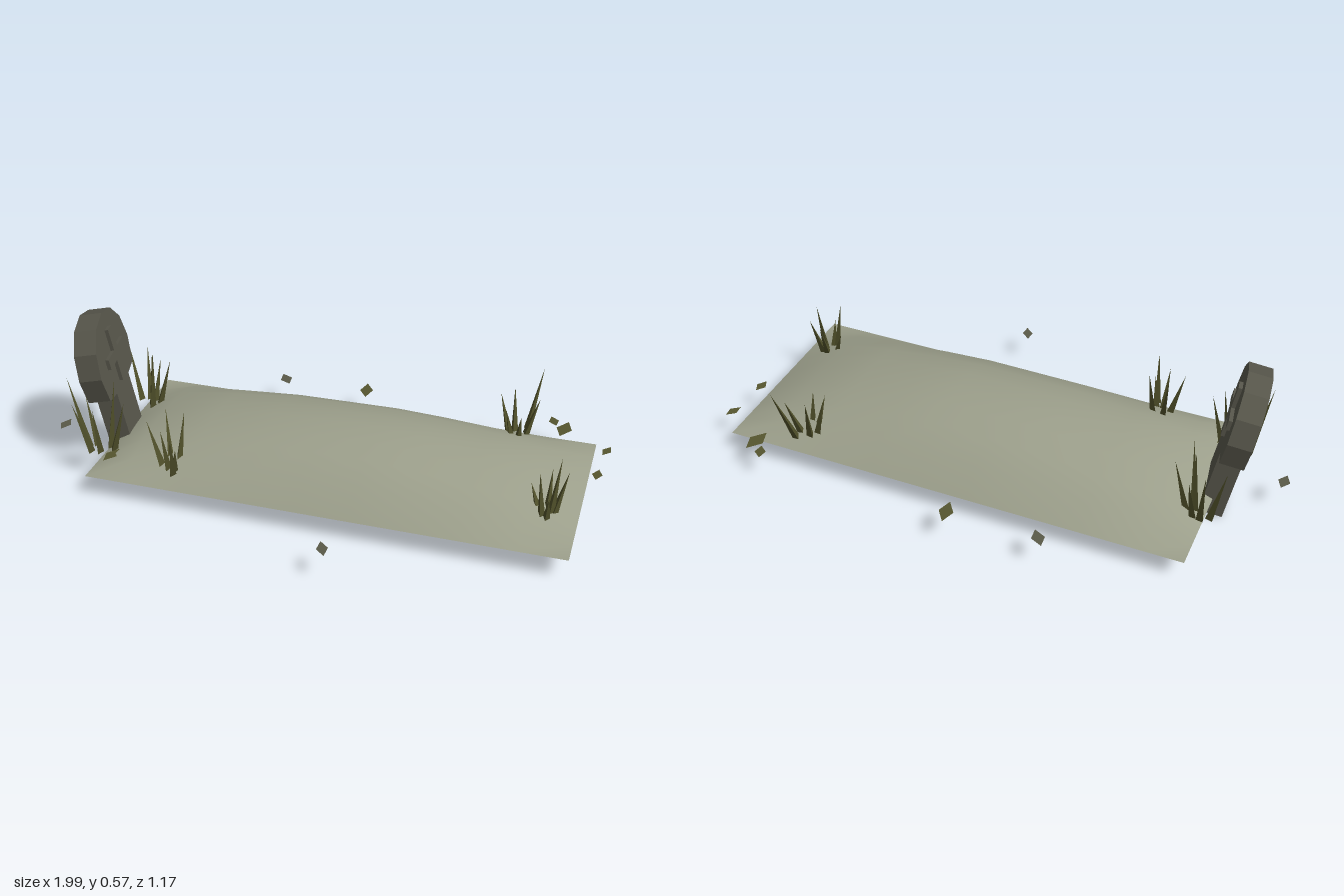
import * as THREE from 'three';

const mat = (name, color, opts = {}) => {
  const m = new THREE.MeshStandardMaterial({ color, ...opts });
  m.name = name;
  return m;
};

export function createModel() {
  const group = new THREE.Group();
  const soil = mat('pale soil', 0x9c9f8b, { side: THREE.DoubleSide });
  const stone = mat('dark stone', 0x57564b, { flatShading: true });
  const grass = mat('dry grass', 0x50502a, { flatShading: true });
  const leafGreen = mat('olive leaf', 0x55552f, { side: THREE.DoubleSide });
  const leafGrey = mat('grey leaf', 0x5a5a48, { side: THREE.DoubleSide });

  const add = (parent, name, geometry, material) => {
    const mesh = new THREE.Mesh(geometry, material);
    mesh.name = name;
    parent.add(mesh);
    return mesh;
  };

  // Earth mound: a grid raised by a lengthwise and a crosswise profile
  const along = [[-0.868, 0], [-0.72, 0.52], [-0.5, 0.74], [-0.27, 0.94], [-0.08, 0.97],
    [0.12, 1], [0.3, 0.9], [0.5, 0.73], [0.7, 0.48], [0.868, 0]];
  const across = [[-0.384, 0], [-0.29, 0.5], [-0.19, 0.81], [-0.09, 0.95], [0, 1],
    [0.1, 0.95], [0.19, 0.83], [0.29, 0.54], [0.384, 0]];
  const moundGeo = new THREE.PlaneGeometry(1, 1, along.length - 1, across.length - 1);
  const pos = moundGeo.attributes.position;
  across.forEach(([z, g], j) => along.forEach(([x, f], i) => {
    pos.setXYZ(j * along.length + i, x, 0.163 * f * g, z);
  }));
  moundGeo.computeVertexNormals();
  const mound = add(group, 'mound', moundGeo, soil);
  mound.position.set(0.09, 0.08, -0.037);
  mound.rotation.y = 0.081;

  // Leaning headstone: faceted round head on a post
  const headstone = new THREE.Group();
  headstone.name = 'headstone';
  headstone.position.set(-0.757, 0.0105, 0.062);
  headstone.rotation.set(-0.19, Math.PI / 2 + 0.24, 0.03, 'YXZ');
  group.add(headstone);
  const half = [[0.08, 0], [0.08, 0.272], [0.155, 0.285], [0.178, 0.385], [0.155, 0.478], [0.09, 0.545]];
  const outline = [...half, [0, 0.567], ...half.slice().reverse().map(([x, y]) => [-x, y])];
  const slab = new THREE.ExtrudeGeometry(
    new THREE.Shape(outline.map(([x, y]) => new THREE.Vector2(x, y))),
    { depth: 0.085, bevelEnabled: false });
  slab.translate(0, 0, -0.0425);
  add(headstone, 'slab', slab, stone);

  // Raised cross on the face
  const a = 0.02, w = 0.095, h = 0.105;
  const crossPoints = [[a, -h], [a, -a], [w, -a], [w, a], [a, a], [a, h],
    [-a, h], [-a, a], [-w, a], [-w, -a], [-a, -a], [-a, -h]];
  const cross = add(headstone, 'cross', new THREE.ExtrudeGeometry(
    new THREE.Shape(crossPoints.map(([x, y]) => new THREE.Vector2(x, y))),
    { depth: 0.018, bevelEnabled: false }), stone);
  cross.position.set(0, 0.4, 0.038);

  // Grass tufts: root position, then blade tips relative to it
  const tufts = [
    [[-0.45, 0.125, 0.3], [[-0.08, 0.18, 0.02], [-0.05, 0.19, -0.07], [-0.01, 0.17, 0.05],
      [0.03, 0.2, -0.06], [0.06, 0.18, 0.11], [0.05, 0.11, 0.06]]],
    [[0.64, 0.12, -0.38], [[-0.07, 0.16, -0.01], [-0.03, 0.17, -0.06], [0.06, 0.23, -0.13],
      [0.07, 0.14, -0.05], [0.03, 0.12, 0.07], [-0.03, 0.13, 0.06]]],
    [[0.86, 0.112, 0.085], [[-0.06, 0.1, -0.02], [-0.02, 0.19, 0.05], [0.035, 0.21, -0.03],
      [0.06, 0.15, -0.05], [0.0, 0.14, -0.07], [0.02, 0.1, 0.06]]],
    [[-0.77, 0.1, -0.12], [[-0.09, 0.23, -0.03], [-0.03, 0.22, -0.07], [0.06, 0.26, 0.05],
      [0.1, 0.2, -0.01], [0.03, 0.17, -0.06], [0.04, 0.24, 0.02]]],
    [[-0.77, 0.1, 0.24], [[-0.1, 0.29, 0.04], [-0.05, 0.22, 0.1], [0.06, 0.28, -0.02],
      [0.11, 0.21, 0.01], [0.02, 0.2, 0.08], [-0.06, 0.2, -0.01]]],
  ];
  const up = new THREE.Vector3(0, 1, 0);
  for (const [root, tips] of tufts) {
    const tuft = new THREE.Group();
    tuft.name = 'grassTuft';
    tuft.position.set(...root);
    group.add(tuft);
    for (const [x, y, z] of tips) {
      const base = new THREE.Vector3(x * 0.45, 0, z * 0.45);
      const dir = new THREE.Vector3(x, y, z).sub(base);
      const length = dir.length();
      const geo = new THREE.ConeGeometry(0.015, length, 3);
      geo.translate(0, length / 2, 0);
      const blade = add(tuft, 'grassBlade', geo, grass);
      blade.position.copy(base);
      blade.quaternion.setFromUnitVectors(up, dir.normalize());
    }
  }

  // Fallen leaves: flat diamonds [x, z, half width, half length, turn, material]
  const leaves = [
    [-0.34, -0.49, 0.024, 0.042, 0.7, leafGrey], [-0.005, -0.52, 0.026, 0.052, 0.25, leafGreen],
    [0.795, -0.51, 0.03, 0.055, -0.1, leafGreen], [0.745, -0.555, 0.02, 0.034, 0.5, leafGreen],
    [0.975, -0.41, 0.018, 0.034, -0.3, leafGreen], [0.975, -0.235, 0.019, 0.034, 0, leafGreen],
    [0.228, 0.548, 0.02, 0.04, 0.5, leafGrey], [-0.978, 0.157, 0.022, 0.038, 0, leafGrey],
    [-0.705, 0.29, 0.024, 0.045, -0.2, leafGreen],
  ];
  for (const [x, z, hw, hl, turn, material] of leaves) {
    const shape = new THREE.Shape([[0, -hl], [hw, 0], [0, hl], [-hw, 0]]
      .map(([px, py]) => new THREE.Vector2(px, py)));
    const geo = new THREE.ShapeGeometry(shape);
    geo.rotateX(-Math.PI / 2);
    const leaf = add(group, 'fallenLeaf', geo, material);
    leaf.position.set(x, 0.108, z);
    leaf.rotation.set(0.04, turn, 0.04);
  }
  return group;
}
